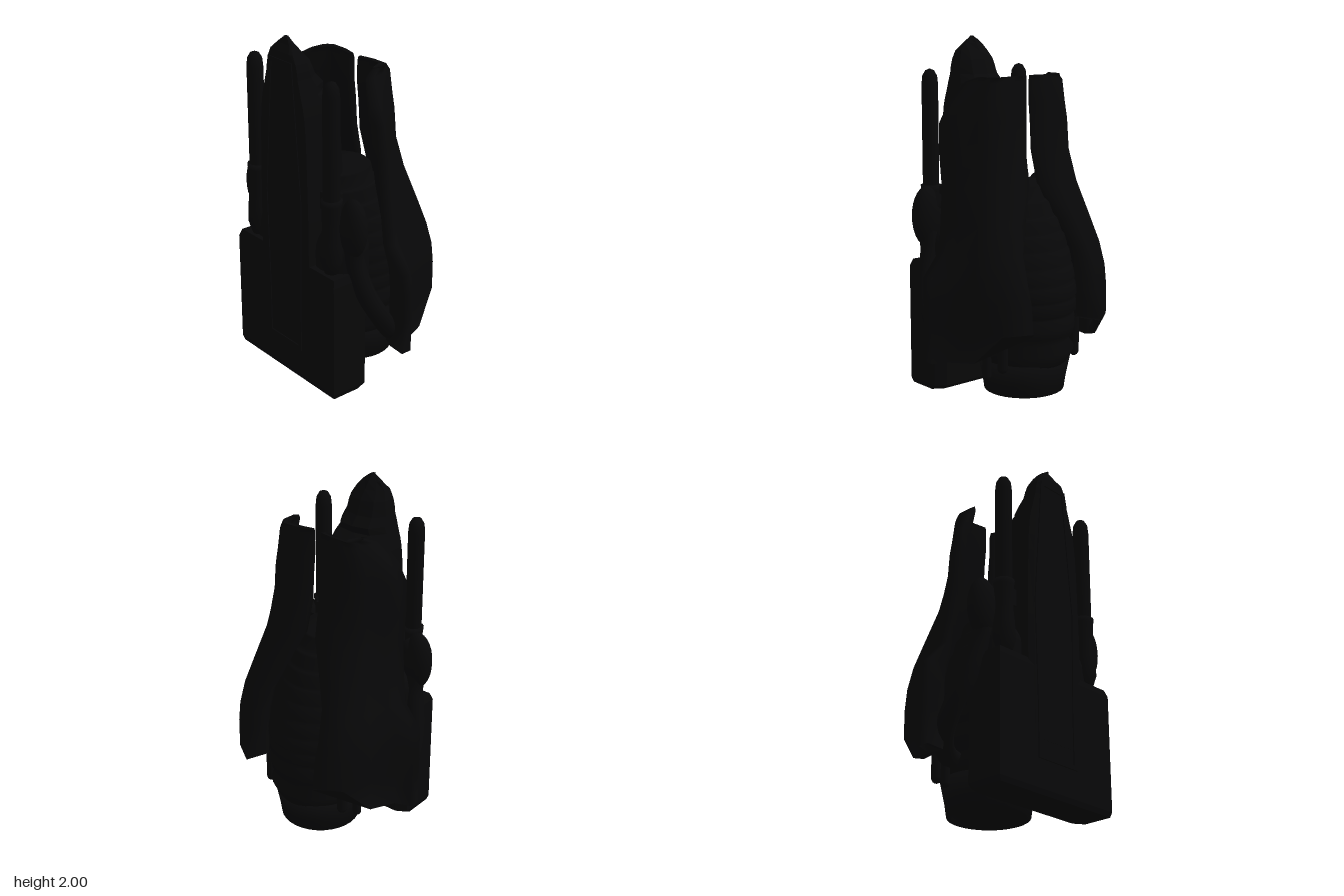
import * as THREE from 'three';

const black = new THREE.MeshStandardMaterial({ color: 0x080809, side: THREE.DoubleSide });
black.name = 'near black';

function add(parent, name, geo, x = 0, y = 0, z = 0) {
  const m = new THREE.Mesh(geo, black);
  m.name = name;
  m.position.set(x, y, z);
  parent.add(m);
  return m;
}

const lathe = (points, sides) => new THREE.LatheGeometry(points.map(p => new THREE.Vector2(...p)), sides);

// Skin a stack of closed rings of [x, y, z] points, with both ends capped
function loft(rings, flat = false) {
  const n = rings[0].length, pos = rings.flat(2), idx = [];
  for (let r = 0; r < rings.length - 1; r++) {
    for (let i = 0; i < n; i++) {
      const a = r * n + i, b = r * n + (i + 1) % n;
      idx.push(a, b, a + n, b, b + n, a + n);
    }
  }
  for (const [r, flip] of [[0, true], [rings.length - 1, false]]) {
    const contour = rings[r].map(p => new THREE.Vector2(p[0], p[2]));
    for (const t of THREE.ShapeUtils.triangulateShape(contour, [])) {
      const [a, b, c] = t.map(i => i + r * n);
      flip ? idx.push(a, c, b) : idx.push(a, b, c);
    }
  }
  let g = new THREE.BufferGeometry();
  g.setAttribute('position', new THREE.Float32BufferAttribute(pos, 3));
  g.setIndex(idx);
  if (flat) g = g.toNonIndexed();
  g.computeVertexNormals();
  return g;
}

// Curved rear shell: [x, z] stations from the outer front edge to the inner lip
function shellGeometry() {
  const rows = [
    [1.80, [.26, -.02], [.26, -.06], [.22, -.11], [.12, -.11], [.03, -.09]],
    [1.77, [.29, .03], [.28, -.03], [.24, -.12], [.12, -.12], [.03, -.10]],
    [1.65, [.38, .07], [.34, .01], [.25, -.13], [.12, -.13], [.03, -.10]],
    [1.55, [.43, .08], [.37, .02], [.26, -.14], [.12, -.14], [.03, -.11]],
    [1.38, [.44, .07], [.38, .01], [.26, -.155], [.12, -.16], [.03, -.12]],
    [1.20, [.44, .05], [.40, 0], [.28, -.20], [.13, -.20], [.04, -.16]],
    [1.00, [.46, .04], [.43, -.02], [.33, -.26], [.20, -.27], [.12, -.22]],
    [0.85, [.48, .03], [.45, -.02], [.37, -.30], [.24, -.335], [.18, -.27]],
    [0.72, [.595, .02], [.50, -.02], [.385, -.33], [.25, -.385], [.20, -.29]],
    [0.60, [.60, .015], [.51, -.02], [.39, -.34], [.25, -.42], [.20, -.30]],
    [0.44, [.60, .015], [.51, -.02], [.39, -.34], [.25, -.435], [.20, -.30]],
  ];
  rows.push([0.24, ...rows[rows.length - 1].slice(1)]);
  const shift = [[0, .065], [-.03, .09], [-.05, .03], [-.03, .045], [0, .05], [.01, .04]];
  return loft(rows.map(([y, a, b, c, d, e], r) => {
    const mid = [(b[0] + c[0]) / 2 + .01, (b[1] + c[1]) / 2];
    const last = r === rows.length - 1;
    const heights = last ? [y, y, .26, .43, .43, .43] : Array(6).fill(y);
    const outer = [a, b, mid, c, d, e].map((p, i) => [p[0], heights[i], p[1]]);
    const inner = outer.map((p, i) => [p[0] + shift[i][0], p[1], p[2] + shift[i][1] * (r ? 1 : .6)]);
    return [...outer, ...inner.reverse()];
  }));
}

export function createModel() {
  const model = new THREE.Group();
  model.name = 'pack';

  // Wide front block with chamfered bottom
  const block = [[0, .425, .21, .425], [.03, .435, .17, .433], [.70, .435, .17, .433], [.74, .42, .19, .42]];
  add(model, 'baseBlock', loft(block.map(([y, w, b, f]) =>
    [[-w, y, f], [w, y, f], [w, y, b + .04], [w - .06, y, b], [-w + .06, y, b], [-w, y, b + .04]]), true));

  // Tall tapered column with a stepped rear: y, half width, back z, front z
  const column = [
    [.30, .21, .08, .434], [1.0, .21, .09, .434], [1.4, .20, .11, .434], [1.5, .195, .12, .434],
    [1.55, .19, .155, .434], [1.6, .185, .135, .434], [1.65, .175, .14, .434], [1.70, .16, .215, .434],
    [1.74, .15, .205, .434], [1.79, .135, .25, .434], [1.83, .13, .265, .434], [1.87, .12, .28, .434],
    [1.92, .095, .32, .434], [1.96, .06, .35, .41], [1.985, .03, .37, .40], [2.0, .006, .385, .393],
  ];
  add(model, 'centralColumn', loft(column.map(([y, w, b, f]) => {
    const m = b + (f - b) * .45;
    return [[-w, y, f - .01], [-w * .8, y, f], [w * .8, y, f], [w, y, f - .01],
      [w, y, m], [w * .65, y, b + .02], [0, y, b], [-w * .65, y, b + .02], [-w, y, m]];
  }), true));

  // Raised rim around the long front panel
  const outline = inset => [[-.15, .19], [.15, .19], [.15, .5], [.165, 1.1], [.10, 1.88], [-.10, 1.88], [-.165, 1.1], [-.15, .5]]
    .map(([x, y]) => new THREE.Vector2(x - Math.sign(x) * inset, y + (y < .3 ? inset : y > 1.8 ? -inset : 0)));
  const rim = new THREE.Shape(outline(0));
  rim.holes.push(new THREE.Path(outline(.025)));
  add(model, 'panelRim', new THREE.ExtrudeGeometry(rim, { depth: .008, bevelEnabled: false }), 0, 0, .432);

  // Ribbed round body, leaning forward and narrowing to the top
  const profile = [[0, .18], [.27, .18], [.31, .26], [.27, .31], [.31, .36]];
  for (let i = 0; i < 9; i++) {
    const y = .40 + i * .09;
    const r = .325 * Math.sqrt(Math.max(0, 1 - ((y - .58) / .70) ** 2));
    profile.push([r, y], [r * .985, y + .065], [r * .94, y + .075]);
  }
  profile.push([.07, 1.22], [0, 1.24]);
  const bodyGeo = lathe(profile, 32);
  const bp = bodyGeo.attributes.position;
  for (let i = 0; i < bp.count; i++) bp.setZ(i, bp.getZ(i) + Math.max(0, bp.getY(i) - .6) * .2);
  bodyGeo.computeVertexNormals();
  add(model, 'ribbedBody', bodyGeo, 0, 0, -.06).scale.x = .9;
  add(model, 'bodyLink', new THREE.BoxGeometry(.34, .75, .24), 0, .62, .1);

  // Nozzle underneath
  add(model, 'nozzle', lathe([[0, .07], [.19, .07], [.20, .01], [.23, .01], [.24, .08], [.265, .20], [0, .22]], 32), 0, 0, -.07);

  // Everything that comes in pairs
  for (const side of [1, -1]) {
    const half = new THREE.Group();
    half.name = side > 0 ? 'leftSide' : 'rightSide';
    half.scale.x = side;
    model.add(half);

    add(half, 'rearShell', shellGeometry());

    // Slim upright rod in a teardrop holder
    add(half, 'rod', lathe([[0, .9], [.047, .91], [.047, 1.74], [.042, 1.79], [.025, 1.82], [0, 1.83]], 16), .33, 0, .36);
    add(half, 'rodHolder', lathe([[0, .72], [.04, .74], [.065, .82], [.06, .92], [.052, 1.0], [.056, 1.14], [.06, 1.17], [0, 1.18]], 16), .33, 0, .36);
    add(half, 'rodBracket', new THREE.BoxGeometry(.14, .1, .08), .24, 1.12, .30);

    // Rounded tank and side bulge
    add(half, 'tank', new THREE.CapsuleGeometry(.15, .38, 8, 20), .27, .64, .24);
    add(half, 'sideBulge', new THREE.SphereGeometry(1, 20, 14), .42, 1.01, .285).scale.set(.09, .17, .07);

    // Thick hose sweeping from the bulge down to the lower body
    const path = new THREE.CatmullRomCurve3([[.34, 1.12, .28], [.42, 1.02, .28], [.41, .83, .27], [.46, .62, .23],
      [.49, .46, .15], [.46, .33, .05], [.34, .28, -.05], [.22, .28, -.1]]
      .map(p => new THREE.Vector3(...p)));
    add(half, 'hose', new THREE.TubeGeometry(path, 40, .055, 12));

    // Small pegs beside the nozzle
    add(half, 'shortPeg', new THREE.CapsuleGeometry(.025, .12, 4, 10), .30, .2, -.10);
    add(half, 'longPeg', new THREE.CapsuleGeometry(.03, .2, 4, 10), .27, .3, -.20);
  }
  return model;
}
